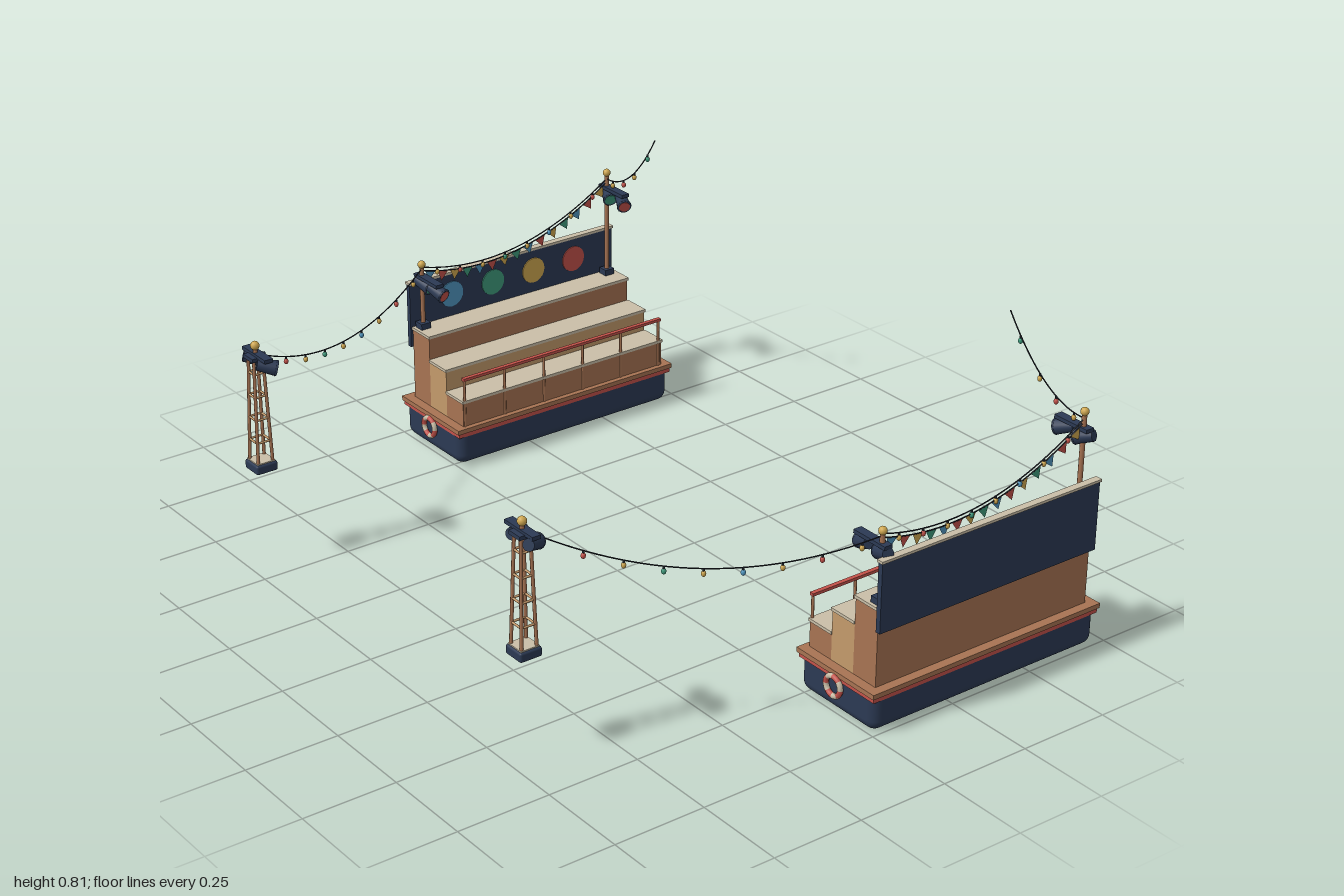
import * as THREE from 'three';
import { RoundedBoxGeometry } from 'three/addons/geometries/RoundedBoxGeometry.js';

const V = (x, y, z) => new THREE.Vector3(x, y, z);

function mat(name, color, side = THREE.FrontSide) {
  const m = new THREE.MeshStandardMaterial({ color, side });
  m.name = name;
  return m;
}

export function createModel() {
  const M = {
    navy: mat('navy', 0x2c3a54),
    wood: mat('wood', 0xa87453),
    tan: mat('tan', 0xc49a6b),
    beige: mat('beige', 0xcabfa8),
    red: mat('red', 0xc4524a, THREE.DoubleSide),
    gold: mat('gold', 0xd0a850, THREE.DoubleSide),
    green: mat('green', 0x3f9a7c, THREE.DoubleSide),
    blue: mat('blue', 0x4f96c0, THREE.DoubleSide),
    cable: mat('cable', 0x22262e),
  };
  const cycle = [M.red, M.gold, M.green, M.blue];
  const bulbCycle = [M.gold, M.red, M.gold, M.green, M.gold, M.blue];

  const root = new THREE.Group();
  root.name = 'floatingStands';

  const add = (parent, name, geo, material, x = 0, y = 0, z = 0) => {
    const m = new THREE.Mesh(geo, material);
    m.name = name;
    m.position.set(x, y, z);
    parent.add(m);
    return m;
  };
  // box given by its lower and upper bounds
  const box = (parent, name, material, x0, x1, y0, y1, z0, z1) =>
    add(parent, name, new THREE.BoxGeometry(Math.abs(x1 - x0), y1 - y0, z1 - z0), material,
      (x0 + x1) / 2, (y0 + y1) / 2, (z0 + z1) / 2);
  // round bar between two points
  const bar = (parent, name, material, a, b, r) => {
    const m = add(parent, name, new THREE.CylinderGeometry(r, r, a.distanceTo(b), 8), material);
    m.position.copy(a).lerp(b, 0.5);
    m.quaternion.setFromUnitVectors(V(0, 1, 0), b.clone().sub(a).normalize());
    return m;
  };
  const ball = (parent, name, material, p, r) =>
    add(parent, name, new THREE.SphereGeometry(r, 12, 8), material, p.x, p.y, p.z);
  // sagging cable; returns a function giving points along it
  const cable = (parent, name, a, b, sag) => {
    const at = t => a.clone().lerp(b, t).add(V(0, -4 * sag * t * (1 - t), 0));
    const curve = new THREE.CatmullRomCurve3(Array.from({ length: 13 }, (_, i) => at(i / 12)));
    add(parent, name, new THREE.TubeGeometry(curve, 32, 0.0018, 5), M.cable);
    return at;
  };
  const bulbs = (parent, at, ts) => ts.forEach((t, i) => {
    const p = at(t);
    add(parent, 'bulbSocket', new THREE.CylinderGeometry(0.003, 0.003, 0.008, 6), M.cable, p.x, p.y - 0.004, p.z);
    const b = ball(parent, 'bulb', bulbCycle[i % 6], p.add(V(0, -0.013, 0)), 0.0062);
    b.scale.y = 1.3;
  });
  // cross bar with two spotlights aimed at the middle of the stage
  const lampBar = (parent, s, x, y, z) => {
    const g = new THREE.Group();
    g.name = 'lampBar';
    parent.add(g);
    box(g, 'crossBar', M.navy, s * x - 0.055, s * x + 0.055, y + 0.018, y + 0.028, z - 0.012, z + 0.012);
    [-1, 1].forEach(k => {
      const can = new THREE.Group();
      can.name = 'spotlight';
      can.position.set(s * (x + k * 0.033), y, z - 0.005);
      can.quaternion.setFromUnitVectors(V(0, 1, 0), V(-s * x, -0.3, -0.3 - z).normalize());
      add(can, 'lampHousing', new THREE.CylinderGeometry(0.02, 0.015, 0.05, 14), M.navy);
      add(can, 'lampRim', new THREE.TorusGeometry(0.018, 0.003, 6, 16), M.navy, 0, 0.025, 0).rotation.x = Math.PI / 2;
      add(can, 'lens', new THREE.CylinderGeometry(0.016, 0.016, 0.004, 14), k > 0 ? M.green : M.red, 0, 0.026, 0);
      g.add(can);
      bar(g, 'lampBracket', M.navy, V(s * (x + k * 0.033), y, z), V(s * (x + k * 0.033), y + 0.02, z), 0.005);
    });
  };

  const makeBarge = s => {
    const g = new THREE.Group();
    g.name = s > 0 ? 'leftBarge' : 'rightBarge';
    root.add(g);
    // hull: rounded box with the top cut flat
    const hull = new RoundedBoxGeometry(0.27, 0.14, 0.716, 4, 0.028);
    const p = hull.attributes.position;
    for (let i = 0; i < p.count; i++) p.setY(i, Math.min(p.getY(i), 0.018));
    add(g, 'hull', hull, M.navy, s * 0.86, 0.07, -0.362);
    box(g, 'hullStripe', M.red, s * 0.724, s * 0.996, 0.087, 0.1, -0.722, -0.002);
    box(g, 'deck', M.wood, s * 0.72, s, 0.1, 0.113, -0.727, 0.003);

    // stepped seating
    [[0.735, 0.815, 0.19, M.wood], [0.815, 0.895, 0.255, M.tan], [0.895, 0.975, 0.325, M.wood]].forEach(([a, b, h, m]) => {
      box(g, 'seatTier', m, s * a, s * b, 0.113, h - 0.008, -0.7, -0.024);
      box(g, 'seatTop', M.beige, s * (a - 0.003), s * b, h - 0.008, h, -0.703, -0.021);
    });

    // inner handrail
    for (let i = 0; i < 6; i++) {
      const z = -0.69 + i * 0.132;
      bar(g, 'railPost', M.wood, V(s * 0.736, 0.113, z), V(s * 0.736, 0.255, z), 0.004);
    }
    box(g, 'handrail', M.red, s * 0.73, s * 0.742, 0.25, 0.258, -0.695, -0.025);

    // back panel with painted discs
    box(g, 'backPanel', M.navy, s * 0.976, s * 0.99, 0.265, 0.45, -0.705, -0.017);
    box(g, 'panelCap', M.beige, s * 0.973, s * 0.993, 0.45, 0.457, -0.708, -0.014);
    cycle.forEach((m, i) => {
      const d = add(g, 'panelDisc', new THREE.CylinderGeometry(0.037, 0.037, 0.004, 20), m, s * 0.975, 0.39, -0.568 + i * 0.138);
      d.rotation.z = Math.PI / 2;
    });

    // lamp poles
    [[-0.045, 0.51, 0.455], [-0.672, 0.63, 0.567]].forEach(([z, top, lampY]) => {
      box(g, 'poleFoot', M.navy, s * 0.94, s * 0.97, 0.325, 0.342, z - 0.015, z + 0.015);
      bar(g, 'pole', M.wood, V(s * 0.955, 0.33, z), V(s * 0.955, top, z), 0.0065);
      ball(g, 'poleBall', M.gold, V(s * 0.955, top + 0.003, z), 0.011);
      lampBar(g, s, 0.922, lampY, z);
    });

    // life ring on the bow
    for (let i = 0; i < 8; i++) {
      const r = add(g, 'lifeRing', new THREE.TorusGeometry(0.026, 0.0075, 8, 6, Math.PI / 4), i % 2 ? M.red : M.beige, s * 0.86, 0.073, 0.006);
      r.rotation.z = i * Math.PI / 4;
    }

    // bunting between the poles
    const flags = cable(g, 'buntingLine', V(s * 0.955, 0.495, -0.045), V(s * 0.955, 0.605, -0.672), 0.075);
    const shape = new THREE.Shape([new THREE.Vector2(-0.017, 0), new THREE.Vector2(0, -0.03), new THREE.Vector2(0.017, 0)]);
    for (let i = 0; i < 15; i++) {
      const t = (i + 0.7) / 15.4, q = flags(t), n = flags(t + 0.01);
      const f = add(g, 'flag', new THREE.ShapeGeometry(shape), cycle[(i + 3) % 4], q.x, q.y, q.z);
      f.rotation.set(0, Math.PI / 2, Math.atan2(n.y - q.y, q.z - n.z), 'YXZ');
    }
    const upper = cable(g, 'lightLine', V(s * 0.955, 0.505, -0.045), V(s * 0.955, 0.615, -0.672), 0.075);
    bulbs(g, upper, [0.08, 0.2, 0.32, 0.44, 0.56, 0.68, 0.8, 0.92]);

    // loose light string rising inward
    const rise = cable(g, 'risingLightLine', V(s * 0.955, 0.615, -0.672), V(s * 0.705, 0.812, -0.652), 0.05);
    bulbs(g, rise, [0.13, 0.36, 0.58, 0.85]);
  };

  const makeTower = s => {
    const g = new THREE.Group();
    g.name = s > 0 ? 'leftTower' : 'rightTower';
    root.add(g);
    const x = s * 0.58, z = 0.696;
    add(g, 'towerBase', new RoundedBoxGeometry(0.062, 0.026, 0.062, 2, 0.006), M.navy, x, 0.281, z);
    box(g, 'basePlate', M.beige, x - 0.026, x + 0.026, 0.292, 0.297, z - 0.026, z + 0.026);
    // tapering lattice
    const corner = (k, t) => {
      const w = 0.021 - 0.008 * t, a = Math.PI / 4 + k * Math.PI / 2;
      return V(x + w * Math.SQRT2 * Math.cos(a), 0.295 + 0.285 * t, z + w * Math.SQRT2 * Math.sin(a));
    };
    for (let k = 0; k < 4; k++) {
      bar(g, 'towerLeg', M.wood, corner(k, 0), corner(k, 1), 0.0045);
      [0.2, 0.42, 0.64, 0.86].forEach(t => bar(g, 'towerRung', M.tan, corner(k, t), corner(k + 1, t), 0.003));
    }
    box(g, 'towerTop', M.navy, x - 0.022, x + 0.022, 0.578, 0.588, z - 0.022, z + 0.022);
    bar(g, 'finialStem', M.wood, V(x, 0.585, z), V(x, 0.612, z), 0.006);
    ball(g, 'towerBall', M.gold, V(x, 0.613, z), 0.012);
    lampBar(g, s, 0.576, 0.567, z - 0.004);
    // light string to the barge
    const at = cable(g, 'lightLine', V(x, 0.592, z), V(s * 0.955, 0.5, -0.045), 0.093);
    bulbs(g, at, Array.from({ length: 9 }, (_, i) => 0.055 + i * 0.111));
  };

  [1, -1].forEach(s => {
    makeBarge(s);
    makeTower(s);
  });
  return root;
}
